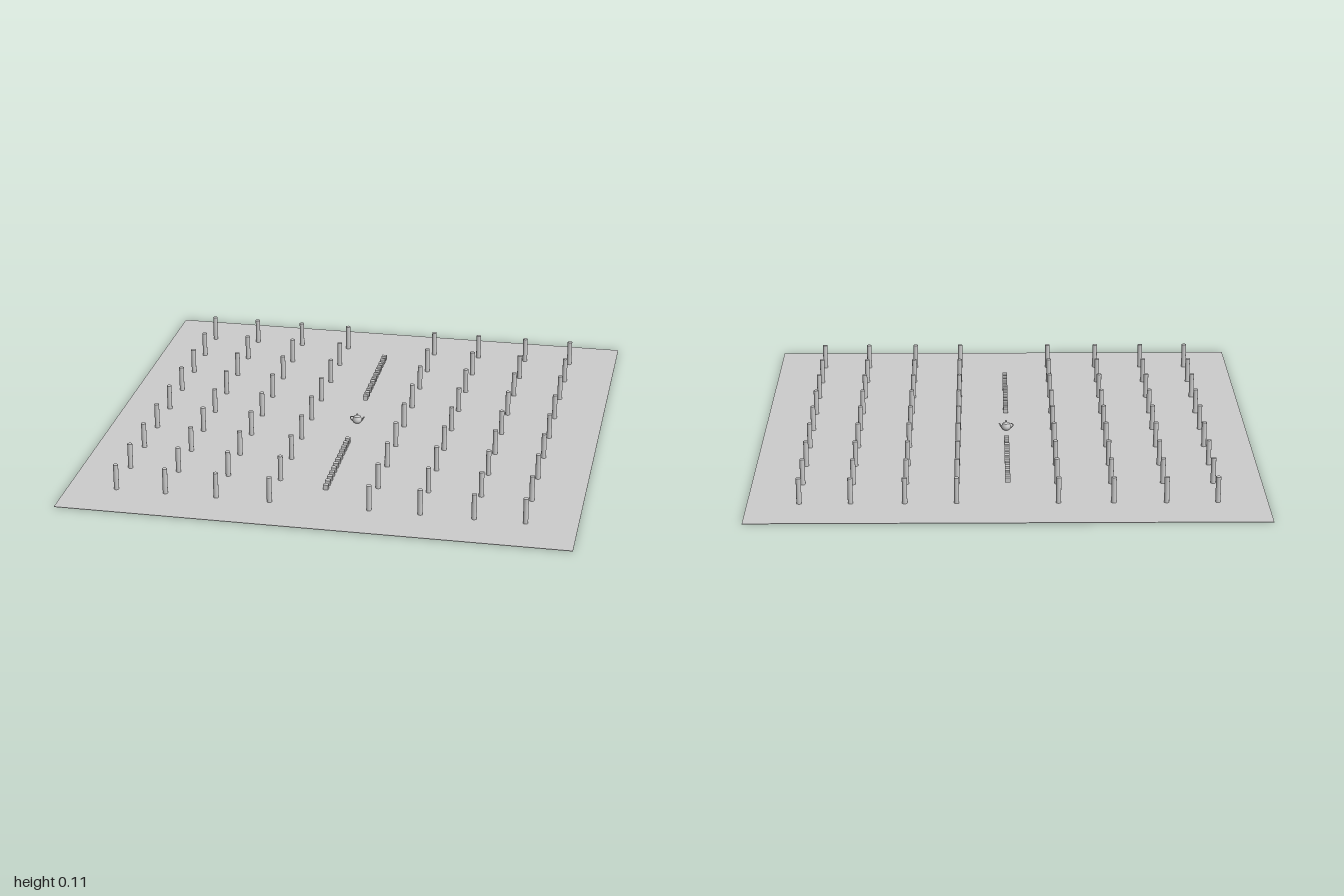
import * as THREE from 'three';

const material = new THREE.MeshStandardMaterial({ color: 0xcccccc, side: THREE.DoubleSide });

function part(name, geometry, parent, x = 0, y = 0, z = 0) {
  const mesh = new THREE.Mesh(geometry, material);
  mesh.name = name;
  mesh.position.set(x, y, z);
  parent.add(mesh);
  return mesh;
}

function tube(points, radius) {
  const curve = new THREE.CatmullRomCurve3(points.map(([x, y]) => new THREE.Vector3(x, y, 0)));
  return new THREE.TubeGeometry(curve, 16, radius, 8);
}

// Small teapot: turned body with lid, a spout and a handle
function createTeapot() {
  const pot = new THREE.Group();
  pot.name = 'teapot';
  const profile = [[0, 0], [0.013, 0], [0.017, 0.005], [0.02, 0.011], [0.018, 0.02], [0.014, 0.028]];
  part('body', new THREE.LatheGeometry(profile.map(p => new THREE.Vector2(...p)), 24), pot);
  const lid = [[0.014, 0.028], [0.009, 0.031], [0.003, 0.033], [0.003, 0.035], [0.005, 0.037], [0.003, 0.04], [0, 0.04]];
  part('lid', new THREE.LatheGeometry(lid.map(p => new THREE.Vector2(...p)), 24), pot);
  part('spout', tube([[0.016, 0.01], [0.022, 0.014], [0.025, 0.022], [0.03, 0.027]], 0.003), pot);
  part('handle', tube([[-0.016, 0.025], [-0.026, 0.025], [-0.029, 0.02], [-0.026, 0.013], [-0.018, 0.008]], 0.002), pot);
  return pot;
}

export function createModel() {
  const model = new THREE.Group();
  model.name = 'field';

  // Thin square floor
  part('floor', new THREE.BoxGeometry(2, 0.002, 2), model, 0, 0.001, 0);

  // Grid of posts, leaving the middle aisle free
  const posts = new THREE.Group();
  posts.name = 'posts';
  model.add(posts);
  const postGeometry = new THREE.CylinderGeometry(0.01, 0.01, 0.105, 16);
  const columns = [-0.807, -0.61, -0.407, -0.195, 0.196, 0.395, 0.603, 0.8];
  const rows = [-0.8, -0.602, -0.405, -0.2, 0.002, 0.2, 0.4, 0.602, 0.802];
  for (const x of columns) for (const z of rows) part('post', postGeometry, posts, x, 0.0535, z);

  // Two rows of little cubes along the aisle, the rear row raised
  const cubeGeometry = new THREE.BoxGeometry(0.02, 0.02, 0.02);
  for (const [name, start, step, y] of [['frontCubes', 0.204, 0.0407, 0.013], ['rearCubes', -0.193, -0.0407, 0.034]]) {
    const row = new THREE.Group();
    row.name = name;
    for (let i = 0; i < 12; i++) part('cube', cubeGeometry, row, -0.002, y, start + i * step);
    model.add(row);
  }

  // Teapot at the centre
  const teapot = createTeapot();
  teapot.position.set(-0.002, 0.002, 0);
  model.add(teapot);

  return model;
}
